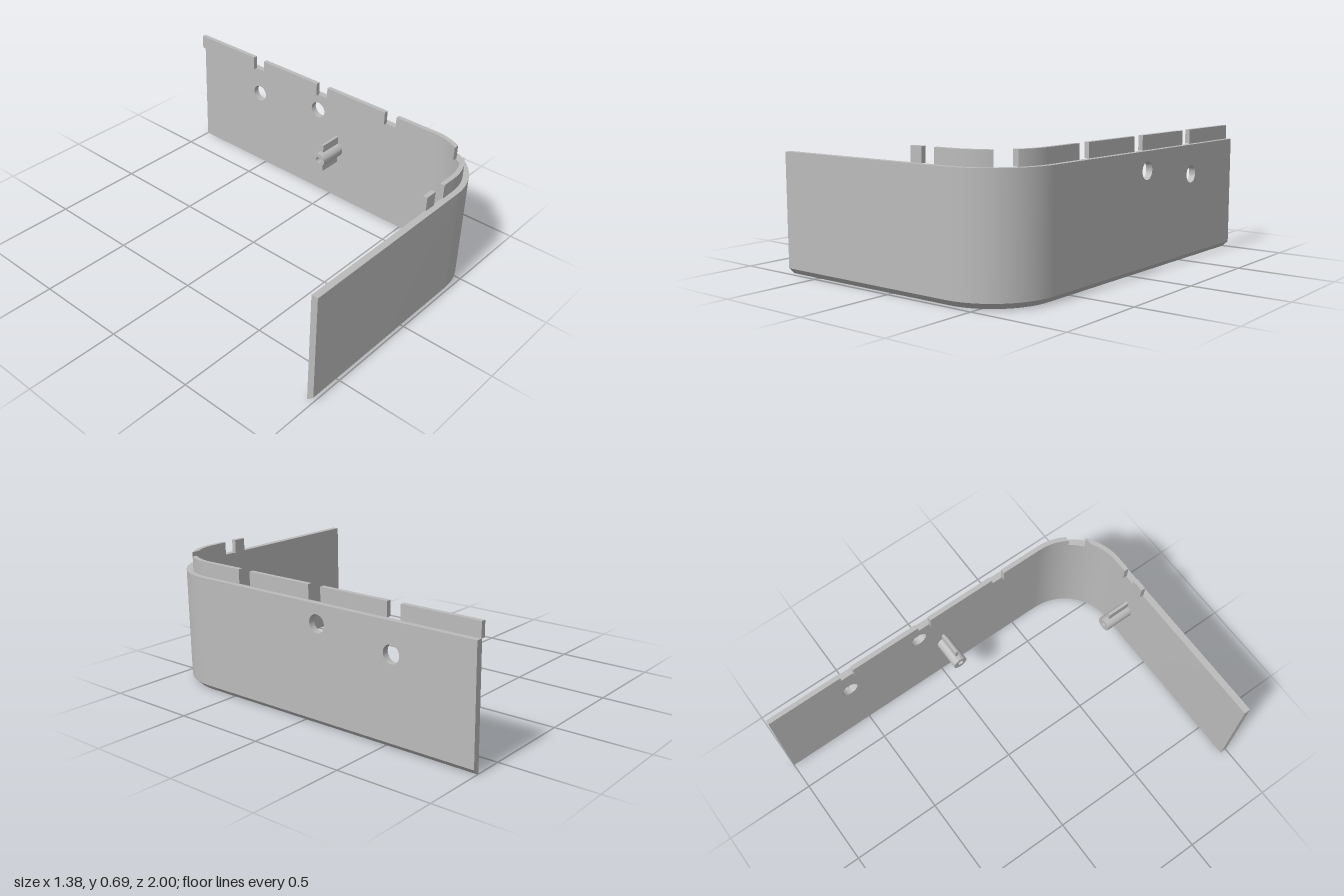
import * as THREE from 'three';
import { toCreasedNormals } from 'three/addons/utils/BufferGeometryUtils.js';

const X = 0.688, Z = 1, R = 0.335;      // outer faces and outer corner radius
const CX = X - R, CZ = Z - R;           // corner centre
const T = 0.035, H = 0.61, C = 0.03;    // wall thickness, height, bottom chamfer
const TAB_TOP = 0.685, TAB_IN = 0.055, TAB_OUT = 0.03;
const ARC = 24;

// Plan path at inset d: along the front, round the corner, back along the side
function rail(d, { x0, z0, z1 }) {
  const r = R - d, pts = [];
  const angle = z => Math.asin(THREE.MathUtils.clamp((z - CZ) / r, 0, 1));
  if (x0 !== undefined) pts.push([x0, Z - d]);
  const a0 = x0 !== undefined ? Math.PI / 2 : angle(z0), a1 = angle(z1);
  for (let i = 0; i <= ARC; i++) {
    const a = a0 + (a1 - a0) * i / ARC;
    pts.push([CX + r * Math.cos(a), CZ + r * Math.sin(a)]);
  }
  if (z1 < CZ) pts.push([X - d, z1]);
  return pts;
}

// Sweeps a convex section of [inset, height] points along the path
function sweep(section, range) {
  const rails = section.map(([d, y]) => rail(d, range).map(([x, z]) => [x, y, z]));
  const n = section.length, last = rails[0].length - 1, pos = [];
  const tri = (...pts) => pts.forEach(p => pos.push(...p));
  for (let i = 0; i < last; i++) {
    for (let k = 0; k < n; k++) {
      const a = rails[k], b = rails[(k + 1) % n];
      tri(a[i], a[i + 1], b[i + 1]);
      tri(a[i], b[i + 1], b[i]);
    }
  }
  for (let k = 1; k < n - 1; k++) {
    tri(rails[0][0], rails[k][0], rails[k + 1][0]);
    tri(rails[0][last], rails[k + 1][last], rails[k][last]);
  }
  const g = new THREE.BufferGeometry();
  g.setAttribute('position', new THREE.Float32BufferAttribute(pos, 3));
  return toCreasedNormals(g, 0.4);
}

export function createModel() {
  const model = new THREE.Group();
  model.name = 'cornerWallPanel';
  const grey = new THREE.MeshStandardMaterial({ color: 0xbbbbbb });
  grey.name = 'plainGrey';
  const add = (name, geometry, parent = model) => {
    const mesh = new THREE.Mesh(geometry, grey);
    mesh.name = name;
    parent.add(mesh);
    return mesh;
  };

  // Front wall with rounded corner
  add('frontWall', sweep([[0, C], [0, H], [T, H], [T, C]], { x0: -X, z1: CZ }));
  // Chamfered lower edge along the whole wall
  add('bottomEdge', sweep([[0, C], [T, C], [T, 0], [C, 0]], { x0: -X, z1: -Z }));

  // Side wall with two round holes
  const side = new THREE.Shape([[-CZ, C], [Z, C], [Z, H], [-CZ, H]].map(p => new THREE.Vector2(...p)));
  for (const [s, y] of [[0.11, 0.513], [0.55, 0.455]]) {
    side.holes.push(new THREE.Path().absarc(s, y, 0.046, 0, Math.PI * 2, true));
  }
  const sideGeo = new THREE.ExtrudeGeometry(side, { depth: T, bevelEnabled: false, curveSegments: 32 });
  const sideWall = add('sideWall', toCreasedNormals(sideGeo, 0.4));
  sideWall.rotation.y = Math.PI / 2;
  sideWall.position.x = X - T;

  // Locating tabs along the top, set to the inside
  const tabW = TAB_IN - TAB_OUT, tabH = TAB_TOP - H, tabMid = (TAB_IN + TAB_OUT) / 2;
  for (const [z0, z1] of [[-1, -0.58], [-0.505, -0.11], [-0.035, 0.355]]) {
    add('sideTab', new THREE.BoxGeometry(tabW, tabH, z1 - z0))
      .position.set(X - tabMid, H + tabH / 2, (z0 + z1) / 2);
  }
  add('frontTab', new THREE.BoxGeometry(0.067, tabH, tabW)).position.set(0.165, H + tabH / 2, Z - tabMid);
  const tabSection = [[TAB_OUT, H], [TAB_OUT, TAB_TOP], [TAB_IN, TAB_TOP], [TAB_IN, H]];
  add('cornerTabFront', sweep(tabSection, { x0: 0.272, z1: 0.9 }));
  add('cornerTabSide', sweep(tabSection, { z0: 0.82, z1: 0.43 }));

  // Hollow screw bosses with fins above and below, pointing inward
  const L = 0.16, r = 0.04, bore = 0.018;
  const profile = [[0, 0.03], [bore, 0.03], [bore, L], [r, L], [r, 0]].map(p => new THREE.Vector2(...p)).reverse();
  const bossGeo = toCreasedNormals(new THREE.LatheGeometry(profile, 32).rotateX(Math.PI / 2), 0.4);
  // Lathe profiles must run upward on the outside to face outward
  for (const [name, x, z, turn] of [['frontBoss', 0.22, Z - T, Math.PI], ['sideBoss', X - T, 0.035, -Math.PI / 2]]) {
    const boss = new THREE.Group();
    boss.name = name;
    boss.position.set(x, 0.315, z);
    boss.rotation.y = turn;
    add('bossTube', bossGeo, boss);
    for (const s of [1, -1]) {
      add('bossFin', new THREE.BoxGeometry(0.015, 0.052, 0.13), boss).position.set(0, s * 0.057, 0.065);
    }
    model.add(boss);
  }
  return model;
}
